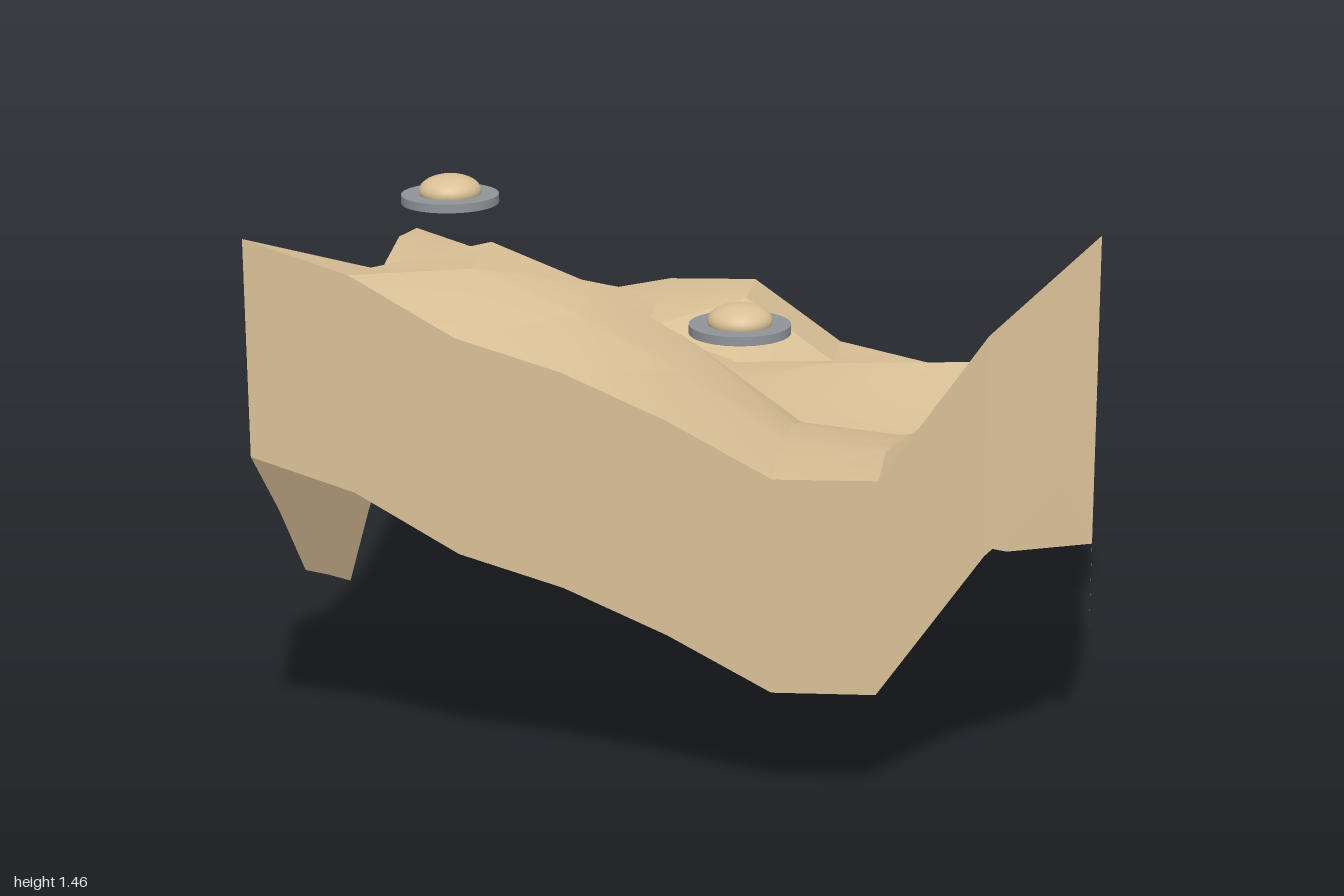
import * as THREE from 'three';
import { toCreasedNormals } from 'three/addons/utils/BufferGeometryUtils.js';

const CELLS = 8;
const SKIRT = 0.535; // depth of the side walls

// Ground heights: rows run from back (z = -1) to front (z = 1), columns from x = -1 to 1
const HEIGHTS = [
  [0.935, 0.855, 0.755, 0.805, 0.81, 0.63, 0.575, 0.535, 0.57],
  [0.97, 0.865, 0.78, 0.82, 0.82, 0.64, 0.59, 0.565, 0.585],
  [0.935, 0.93, 0.935, 0.79, 0.7, 0.705, 0.715, 0.725, 0.73],
  [0.845, 0.915, 0.95, 0.82, 0.715, 0.68, 0.67, 0.675, 0.69],
  [0.725, 0.84, 0.915, 0.82, 0.725, 0.67, 0.655, 0.65, 0.67],
  [0.83, 0.965, 1.09, 0.995, 0.89, 0.76, 0.735, 0.76, 0.79],
  [0.93, 1.11, 1.275, 1.175, 1.035, 0.83, 0.79, 0.85, 0.915],
  [1.175, 1.265, 1.27, 1.165, 1.03, 0.86, 0.845, 1.04, 1.245],
  [1.39, 1.31, 1.165, 1.09, 0.98, 0.845, 0.85, 1.21, 1.455],
];

export function createModel() {
  const model = new THREE.Group();
  const sand = new THREE.MeshStandardMaterial({ color: 0xd9c096, side: THREE.DoubleSide });
  sand.name = 'sand';
  const grey = new THREE.MeshStandardMaterial({ color: 0x909499 });
  grey.name = 'grey';

  const add = (parent, name, geometry, material) => {
    const mesh = new THREE.Mesh(geometry, material);
    mesh.name = name;
    parent.add(mesh);
    return mesh;
  };

  // Rolling ground surface
  const ground = new THREE.PlaneGeometry(2, 2, CELLS, CELLS).rotateX(-Math.PI / 2);
  const p = ground.attributes.position;
  for (let i = 0; i < p.count; i++) {
    p.setY(i, HEIGHTS[Math.floor(i / (CELLS + 1))][i % (CELLS + 1)]);
  }
  add(model, 'ground', toCreasedNormals(ground, 0.35), sand);

  // Side walls follow the edge of the ground; the underside stays open
  const at = (i) => -1 + (2 * i) / CELLS;
  const edges = {
    frontWall: (i) => [at(i), HEIGHTS[CELLS][i], 1],
    rightWall: (i) => [-1, HEIGHTS[i][0], at(i)],
    backWall: (i) => [at(CELLS - i), HEIGHTS[0][CELLS - i], -1],
    leftWall: (i) => [1, HEIGHTS[CELLS - i][CELLS], at(CELLS - i)],
  };
  for (const [name, edge] of Object.entries(edges)) {
    const wall = new THREE.PlaneGeometry(2, 1, CELLS, 1);
    const q = wall.attributes.position;
    for (let i = 0; i <= CELLS; i++) {
      const [x, y, z] = edge(i);
      q.setXYZ(i, x, y, z);
      q.setXYZ(i + CELLS + 1, x, y - SKIRT, z);
    }
    wall.computeVertexNormals();
    add(model, name, wall, sand);
  }

  // Hovering saucers: a flattened ball through a thin disc
  for (const [x, y, z] of [[0.082, 0.981, 0.165], [-0.75, 1.206, -0.25]]) {
    const saucer = new THREE.Group();
    saucer.name = 'saucer';
    saucer.position.set(x, y, z);
    add(saucer, 'disc', new THREE.CylinderGeometry(0.132, 0.132, 0.024, 32), grey);
    const dome = add(saucer, 'dome', new THREE.SphereGeometry(0.085, 32, 16), sand);
    dome.scale.y = 0.53;
    dome.position.y = 0.02;
    model.add(saucer);
  }
  return model;
}
